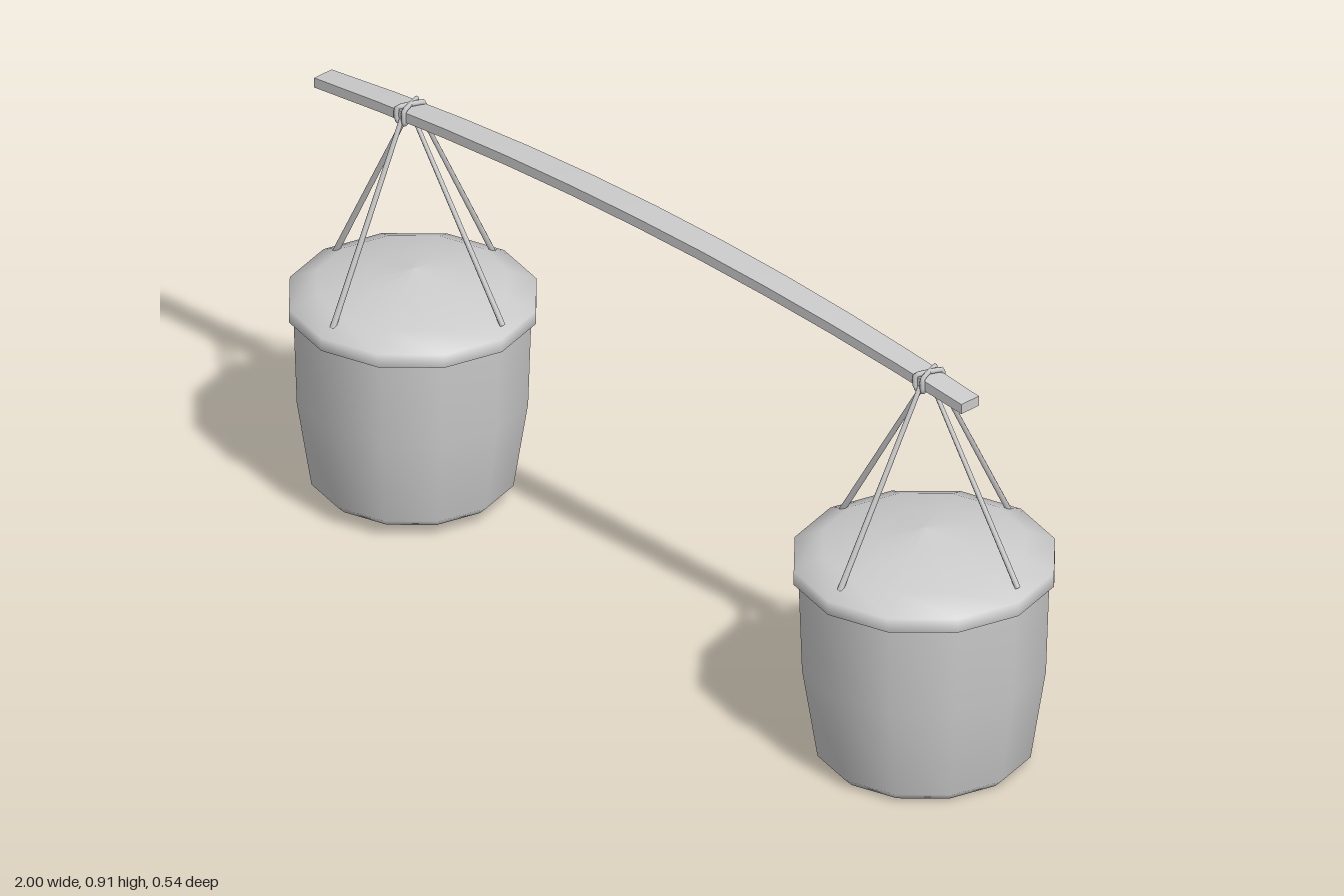
import * as THREE from 'three';

const material = new THREE.MeshStandardMaterial({ color: 0xcccccc });
const V = (x, y, z) => new THREE.Vector3(x, y, z);

function addMesh(parent, name, geometry) {
  const mesh = new THREE.Mesh(geometry, material);
  mesh.name = name;
  parent.add(mesh);
  return mesh;
}

// Twelve-sided turned shape from [radius, height] pairs, bottom to top
function turned(points) {
  return new THREE.LatheGeometry(points.map(([r, y]) => new THREE.Vector2(r, y)), 12);
}

// Height of the bowed pole's centre line
const poleHeight = (x) => 0.903 - 0.058 * ((x + 0.07) / 0.93) ** 2;

// Flat carrying pole, bowed upwards and narrowing to both ends
function poleGeometry() {
  const geometry = new THREE.BoxGeometry(1.857, 0.022, 1, 10, 1, 1);
  const p = geometry.attributes.position;
  for (let i = 0; i < p.count; i++) {
    const x = p.getX(i) - 0.0715;
    const u = (x + 0.07) / 0.93;
    p.setXYZ(i, x, p.getY(i) + poleHeight(x), p.getZ(i) * (0.063 - 0.014 * u * u) - 0.005);
  }
  geometry.computeVertexNormals();
  return geometry;
}

// Straight rope between two points
function ropeGeometry(a, b) {
  const geometry = new THREE.CylinderGeometry(0.005, 0.0065, a.distanceTo(b), 6);
  geometry.applyQuaternion(new THREE.Quaternion().setFromUnitVectors(V(0, 1, 0), a.clone().sub(b).normalize()));
  const mid = a.clone().add(b).multiplyScalar(0.5);
  return geometry.translate(mid.x, mid.y, mid.z);
}

// Rope loop around the pole, slanted along x
function lashingGeometry(slant) {
  const path = new THREE.CatmullRomCurve3([
    V(-slant, 0.015, -0.027), V(slant, 0.015, 0.027), V(slant, -0.015, 0.027), V(-slant, -0.015, -0.027),
  ], true, 'catmullrom', 0.15);
  return new THREE.TubeGeometry(path, 24, 0.0055, 6, true);
}

// Lidded bucket with four ropes and the lashing that holds them
function hangingBucket(name, { x, y, z, scale, knotX, ropeX }) {
  const group = new THREE.Group();
  group.name = name;

  const bucket = new THREE.Group();
  bucket.name = 'bucket';
  bucket.position.set(x, y, z);
  bucket.scale.setScalar(scale);
  addMesh(bucket, 'bucketBody', turned([
    [0, 0], [0.203, 0], [0.221, 0.018], [0.253, 0.22], [0.26, 0.425],
  ]));
  addMesh(bucket, 'lid', turned([
    [0, 0.416], [0.262, 0.414], [0.27, 0.418], [0.27, 0.449], [0.21, 0.476], [0.1, 0.497], [0, 0.512],
  ]));
  group.add(bucket);

  // Ropes run from the knot to points near the lid's edge
  const knot = V(knotX, poleHeight(knotX), -0.004);
  const r = 0.236 * scale;
  const ends = [[ropeX - x + r, -0.027], [ropeX - x - r, 0.005], [0, r], [0, -r]];
  ends.forEach(([dx, dz]) => {
    const top = V(knot.x + Math.sign(Math.round(dx * 10)) * 0.008, knot.y - 0.008,
      knot.z + Math.sign(Math.round(dz * 10)) * 0.024);
    addMesh(group, 'rope', ropeGeometry(top, V(x + dx, y + 0.46 * scale, z + dz)));
  });

  const lashing = new THREE.Group();
  lashing.name = 'lashing';
  lashing.position.copy(knot);
  for (const slant of [-0.01, 0.01]) addMesh(lashing, 'lashingLoop', lashingGeometry(slant));
  group.add(lashing);
  return group;
}

export function createModel() {
  const model = new THREE.Group();
  model.name = 'carryingPoleWithBuckets';
  addMesh(model, 'pole', poleGeometry());
  model.add(hangingBucket('rightBucket', {
    x: -0.744, y: 0.026, z: -0.007, scale: 0.948, knotX: -0.748, ropeX: -0.738,
  }));
  model.add(hangingBucket('leftBucket', {
    x: 0.728, y: 0, z: -0.003, scale: 1, knotX: 0.74, ropeX: 0.732,
  }));
  return model;
}
